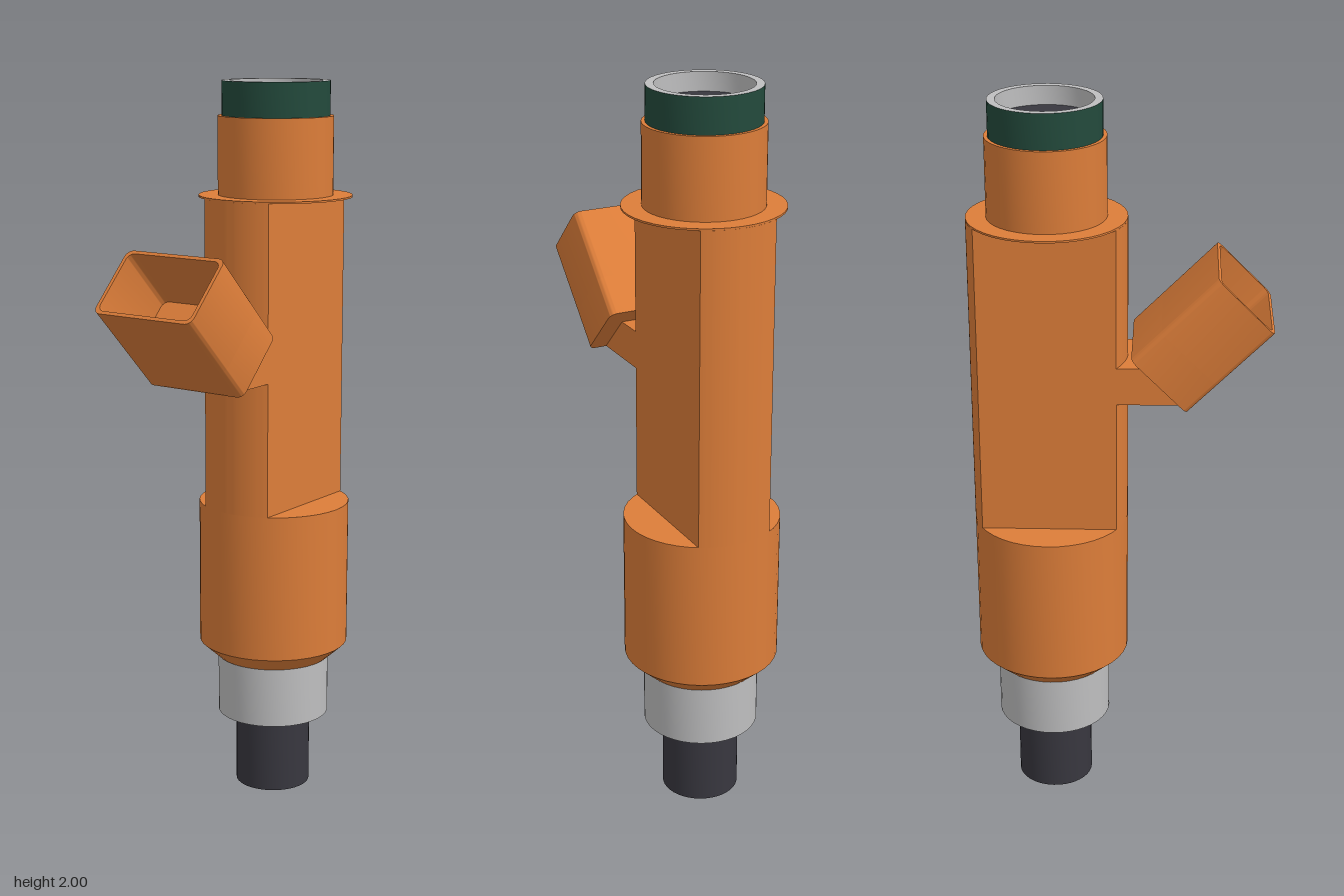
import * as THREE from 'three';
import { toCreasedNormals } from 'three/addons/utils/BufferGeometryUtils.js';

const AXIS_Z = -0.19;
const SEGMENTS = 40;

function material(name, color) {
  const m = new THREE.MeshStandardMaterial({ color });
  m.name = name;
  return m;
}

// Rounded rectangle outline centred on the origin
function roundedRect(path, w, h, r) {
  const x = w / 2, y = h / 2;
  path.moveTo(-x + r, -y);
  path.lineTo(x - r, -y);
  path.absarc(x - r, -y + r, r, -Math.PI / 2, 0);
  path.lineTo(x, y - r);
  path.absarc(x - r, y - r, r, 0, Math.PI / 2);
  path.lineTo(-x + r, y);
  path.absarc(-x + r, y - r, r, Math.PI / 2, Math.PI);
  path.lineTo(-x, -y + r);
  path.absarc(-x + r, -y + r, r, Math.PI, Math.PI * 1.5);
  return path;
}

export function createModel() {
  const orange = material('orange plastic', 0xdc7d39);
  const metal = material('light metal', 0xbebebf);
  const dark = material('dark metal', 0x38373f);
  const green = material('green rubber', 0x234a3c);

  const model = new THREE.Group();
  model.name = 'injector';

  function add(parent, name, geometry, mat) {
    const mesh = new THREE.Mesh(toCreasedNormals(geometry, 0.5), mat);
    mesh.name = name;
    parent.add(mesh);
    return mesh;
  }

  // Everything turned about the vertical axis
  const barrel = new THREE.Group();
  barrel.name = 'barrel';
  barrel.position.z = AXIS_Z;
  model.add(barrel);
  const turned = (name, profile, mat) => add(barrel, name,
    new THREE.LatheGeometry(profile.map(([r, y]) => new THREE.Vector2(r, y)), SEGMENTS), mat);

  turned('nozzle', [[0, 0.004], [0.05, 0.004], [0.05, 0], [0.105, 0], [0.105, 0.215]], dark);
  turned('nozzleOutlet', [[0, 0.002], [0.05, 0.002]], metal);
  turned('lowerCollar', [[0, 0.215], [0.157, 0.215], [0.157, 0.385]], metal);
  turned('lowerBody',
    [[0, 0.385], [0.16, 0.385], [0.21, 0.43], [0.21, 0.84], [0, 0.84]], orange);
  turned('flange', [[0, 1.69], [0.21, 1.69], [0.21, 1.695], [0, 1.695]], orange);
  turned('upperBody', [[0.157, 1.695], [0.157, 1.907], [0.14, 1.907]], orange);
  turned('sealRing', [[0.147, 1.907], [0.147, 2]], green);
  turned('inletTube', [[0.147, 2], [0.126, 2], [0.126, 1.95]], metal);
  turned('inletFilter', [[0.126, 1.95], [0, 1.95]], dark);

  // Middle body: a cylinder with two flat sides
  const slab = new THREE.Shape();
  slab.absarc(0, 0, 0.21, Math.PI / 3, Math.PI * 2 / 3);
  slab.absarc(0, 0, 0.21, Math.PI * 4 / 3, Math.PI * 5 / 3);
  slab.closePath();
  const middle = new THREE.ExtrudeGeometry(slab,
    { depth: 0.85, bevelEnabled: false, curveSegments: 12 });
  middle.rotateX(-Math.PI / 2);
  add(barrel, 'middleBody', middle, orange).position.y = 0.84;

  // Neck joining the body to the plug, drawn from the side
  const neckShape = new THREE.Shape([[-0.05, 1.21], [0.18, 1.21], [0.075, 1.313], [-0.05, 1.313]]
    .map(([z, y]) => new THREE.Vector2(-z, y)));
  const neck = new THREE.ExtrudeGeometry(neckShape, { depth: 0.21, bevelEnabled: false });
  neck.translate(0, 0, -0.105);
  neck.rotateY(Math.PI / 2);
  add(model, 'connectorNeck', neck, orange);

  // Tilted hollow plug, open at its upper end
  const plug = new THREE.Group();
  plug.name = 'connectorPlug';
  plug.position.set(0, 1.2825, 0.105);
  plug.rotation.x = -Math.PI / 4;
  model.add(plug);
  const W = 0.315, H = 0.207, FLOOR = 0.11, LENGTH = 0.313;
  const outline = () => roundedRect(new THREE.Shape(), W, H, 0.022);
  const options = (depth) => ({ depth, bevelEnabled: false, curveSegments: 6 });
  add(plug, 'plugBase', new THREE.ExtrudeGeometry(outline(), options(FLOOR)), orange);
  const sleeve = outline();
  sleeve.holes.push(roundedRect(new THREE.Path(), W - 0.02, H - 0.02, 0.02));
  add(plug, 'plugSleeve', new THREE.ExtrudeGeometry(sleeve, options(LENGTH - FLOOR)), orange)
    .position.z = FLOOR;

  return model;
}
